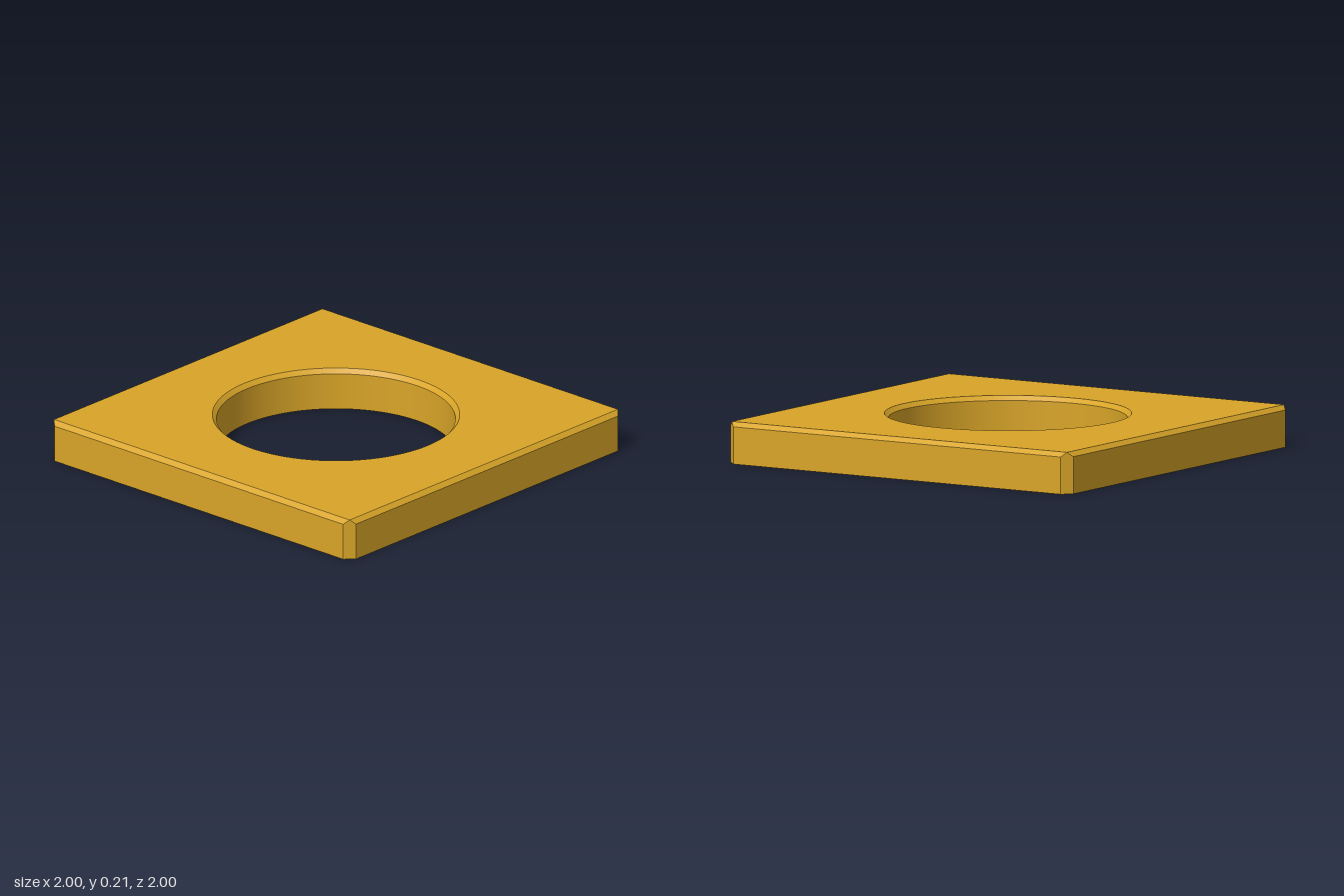
import * as THREE from 'three';

const HEIGHT = 0.207, BEVEL = 0.0225, CORNER = 0.045;
const HOLE = 0.585, HOLE_TOP = 0.606, SEGMENTS = 96;

// Square outline of half size h with its corners cut by c, counter-clockwise from above
function outline(h, c, y) {
  const loop = [];
  for (let i = 0; i < 4; i++) {
    const turn = new THREE.Vector3(0, 1, 0);
    for (const z of [-(h - c), h - c]) {
      loop.push(new THREE.Vector3(h, y, -z).applyAxisAngle(turn, i * Math.PI / 2));
    }
  }
  return loop;
}

// Flat-shaded faces joining each loop to the one above it
function loft(loops) {
  const points = [];
  const triangle = (...t) => {
    if (new THREE.Triangle(...t).getArea() > 1e-7) points.push(...t);
  };
  for (let k = 0; k < loops.length - 1; k++) {
    const low = loops[k], high = loops[k + 1];
    low.forEach((a, i) => {
      const j = (i + 1) % low.length;
      triangle(a, low[j], high[j]);
      triangle(a, high[j], high[i]);
    });
  }
  const geometry = new THREE.BufferGeometry().setFromPoints(points);
  geometry.computeVertexNormals();
  return geometry;
}

// Flat face with a round hole, facing up or down
function face(loop, radius, up) {
  const shape = new THREE.Shape(loop.map(p => new THREE.Vector2(p.x, -p.z)));
  shape.holes.push(new THREE.Path().absarc(0, 0, radius, 0, Math.PI * 2, true));
  const geometry = new THREE.ShapeGeometry(shape, SEGMENTS / 2);
  geometry.rotateX(up ? -Math.PI / 2 : Math.PI / 2);
  geometry.translate(0, loop[0].y, 0);
  return geometry;
}

// Inward-facing ring, its profile running downwards
function ring(r1, y1, r2, y2) {
  return new THREE.LatheGeometry([new THREE.Vector2(r1, y1), new THREE.Vector2(r2, y2)], SEGMENTS);
}

export function createModel() {
  const group = new THREE.Group();
  group.name = 'squarePlate';
  const material = new THREE.MeshStandardMaterial({ color: 0xd9a528 });
  const add = (name, geometry) => {
    const mesh = new THREE.Mesh(geometry, material);
    mesh.name = name;
    group.add(mesh);
  };

  // The top bevel meets the vertical corner cuts at a point
  const base = outline(1, CORNER, 0);
  const shoulder = outline(1, CORNER, HEIGHT - BEVEL);
  const top = outline(1 - BEVEL, CORNER - 2 * BEVEL, HEIGHT);
  const topCorners = top.filter((p, i) => i % 2 === 0);

  add('outerSides', loft([base, shoulder, top]));
  add('topFace', face(topCorners, HOLE_TOP, true));
  add('bottomFace', face(base, HOLE, false));

  // Round opening with a bevelled upper rim
  add('holeRim', ring(HOLE_TOP, HEIGHT, HOLE, HEIGHT - BEVEL));
  add('holeWall', ring(HOLE, HEIGHT - BEVEL, HOLE, 0));
  return group;
}
